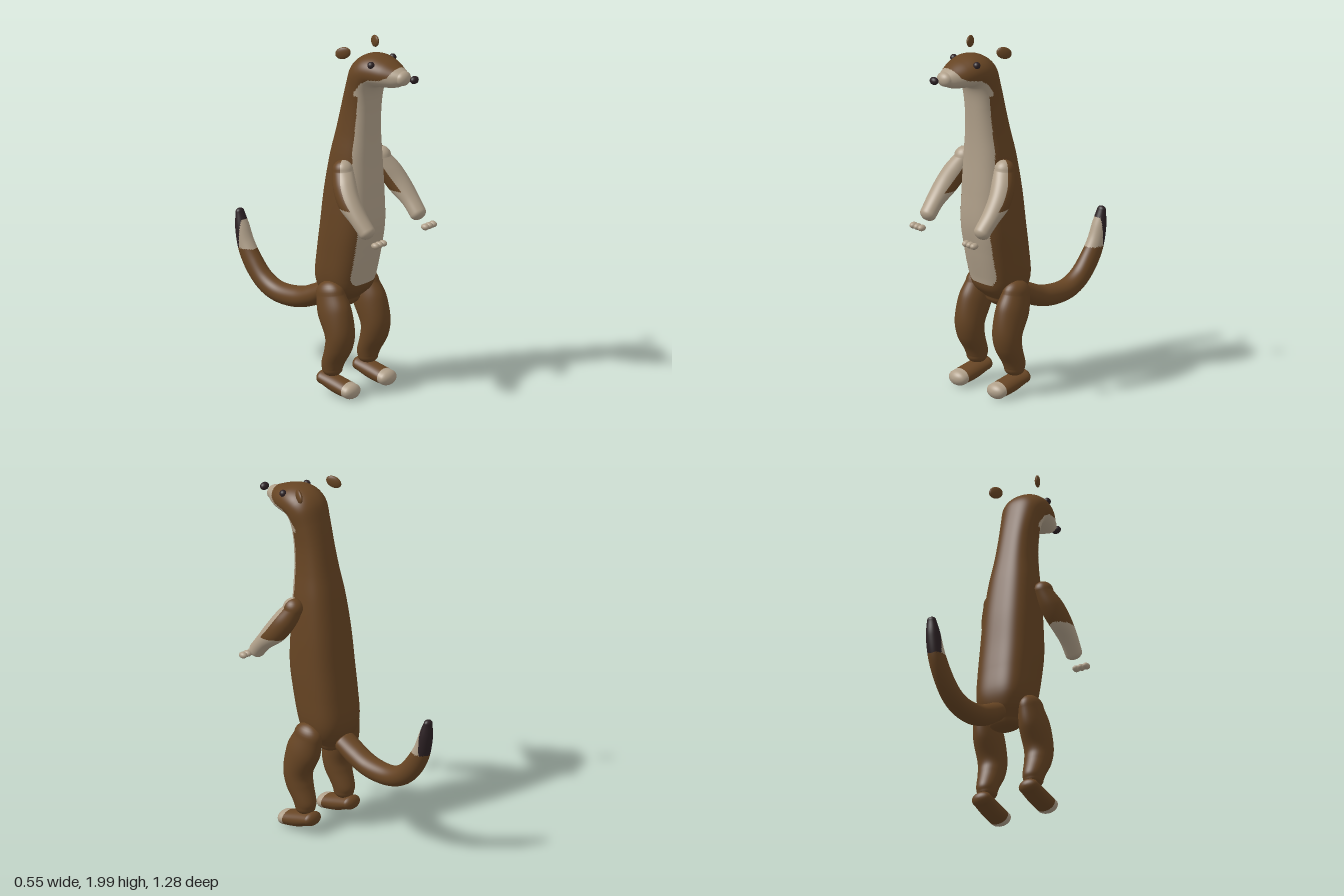
import * as THREE from 'three';

const brown = new THREE.MeshStandardMaterial({ color: 0x664423 });
const cream = new THREE.MeshStandardMaterial({ color: 0xb0a08a });
const dark = new THREE.MeshStandardMaterial({ color: 0x2c2124 });
brown.name = 'brownFur';
cream.name = 'creamFur';
dark.name = 'darkFur';
const palette = [brown, cream, dark];
const BROWN = 0, CREAM = 1, DARK = 2;

// Piecewise linear lookup in [[x, y], ...]
function lookup(table, x) {
  if (x <= table[0][0]) return table[0][1];
  for (let i = 1; i < table.length; i++) {
    const [x0, y0] = table[i - 1], [x1, y1] = table[i];
    if (x <= x1) return y0 + ((x - x0) / (x1 - x0)) * (y1 - y0);
  }
  return table[table.length - 1][1];
}

// Smooth limb through sections [yBack, zBack, yFront, zFront, x, halfWidth], domed at both ends.
// paint(point, front, side, t) picks the palette index; front and side run from -1 to 1.
function loft(name, sections, { steps = 60, radial = 40, domes = [1, 1], power = () => 2, paint = () => BROWN }) {
  const backs = new THREE.CatmullRomCurve3(sections.map(s => new THREE.Vector3(s[4], s[0], s[1])), false, 'catmullrom', 0.5);
  const fronts = new THREE.CatmullRomCurve3(sections.map(s => new THREE.Vector3(s[5], s[2], s[3])), false, 'catmullrom', 0.5);
  const ringAt = t => {
    const b = backs.getPoint(t), f = fronts.getPoint(t);
    return {
      t, width: f.x,
      centre: new THREE.Vector3(b.x, (b.y + f.y) / 2, (b.z + f.z) / 2),
      depth: new THREE.Vector3(0, (f.y - b.y) / 2, (f.z - b.z) / 2),
    };
  };
  const rings = [];
  for (let i = 0; i <= steps; i++) rings.push(ringAt(i / steps));

  // Rounded ends
  const along = rings[steps >> 1].centre.clone().sub(rings[(steps >> 1) - 1].centre);
  const mid = rings[steps >> 1].depth;
  const sign = Math.sign(along.y * -mid.z + along.z * mid.y); // direction of side x front
  const dome = (ring, length, dir) => Array.from({ length: 8 }, (_, k) => {
    const a = ((k + 1) / 8) * Math.PI / 2, c = Math.max(Math.cos(a), 0.002);
    const n = new THREE.Vector3(0, -ring.depth.z, ring.depth.y).multiplyScalar(sign * dir * length * Math.sin(a));
    return { t: ring.t, width: ring.width * c, depth: ring.depth.clone().multiplyScalar(c), centre: ring.centre.clone().add(n) };
  });
  const all = [...dome(rings[0], domes[0], -1).reverse(), ...rings, ...dome(rings[steps], domes[1], 1)];

  const positions = [], info = [];
  for (const r of all) {
    for (let j = 0; j < radial; j++) {
      const a = (j / radial) * Math.PI * 2, e = 2 / power(r.t);
      const side = Math.sign(Math.cos(a)) * Math.abs(Math.cos(a)) ** e;
      const front = Math.sign(Math.sin(a)) * Math.abs(Math.sin(a)) ** e;
      const p = r.centre.clone().addScaledVector(r.depth, front);
      p.x += r.width * side;
      positions.push(p.x, p.y, p.z);
      info.push({ p, front, side, t: r.t });
    }
  }
  const lists = palette.map(() => []);
  const face = (a, b, c) => {
    const v = [info[a], info[b], info[c]];
    const p = new THREE.Vector3();
    v.forEach(q => p.addScaledVector(q.p, 1 / 3));
    const mean = k => (v[0][k] + v[1][k] + v[2][k]) / 3;
    lists[paint(p, mean('front'), mean('side'), mean('t'))].push(...(sign > 0 ? [a, b, c] : [a, c, b]));
  };
  for (let i = 0; i < all.length - 1; i++) {
    for (let j = 0; j < radial; j++) {
      const k = (j + 1) % radial, a = i * radial, b = a + radial;
      face(a + j, a + k, b + k);
      face(a + j, b + k, b + j);
    }
  }
  const geo = new THREE.BufferGeometry();
  geo.setAttribute('position', new THREE.Float32BufferAttribute(positions, 3));
  geo.setIndex(lists.flat());
  let start = 0;
  lists.forEach((list, m) => {
    if (list.length) geo.addGroup(start, list.length, m);
    start += list.length;
  });
  geo.computeVertexNormals();
  const mesh = new THREE.Mesh(geo, palette);
  mesh.name = name;
  return mesh;
}

function ellipsoid(name, material, [x, y, z], [rx, ry, rz]) {
  const mesh = new THREE.Mesh(new THREE.SphereGeometry(1, 20, 14), material);
  mesh.name = name;
  mesh.position.set(x, y, z);
  mesh.scale.set(rx, ry, rz);
  return mesh;
}

export function createModel() {
  const model = new THREE.Group();
  model.name = 'standingWeasel';

  // Body, neck and head in one skin, with cream belly, throat and muzzle
  const bibWidth = [[1.08, 0.72], [1.2, 0.85], [1.4, 0.92], [1.7, 0.94]];
  const jawLine = [[0.28, 1.74], [0.3, 1.765], [0.33, 1.803], [0.38, 1.832], [0.45, 1.842], [0.49, 1.862], [0.525, 1.93]];
  model.add(loft('body', [
    [0.50, 0.04, 0.52, 0.20, 0, 0.09],
    [0.57, 0, 0.58, 0.262, 0, 0.135],
    [0.66, -0.015, 0.66, 0.285, 0, 0.155],
    [0.80, 0, 0.80, 0.318, 0, 0.16],
    [0.95, 0.02, 0.96, 0.345, 0, 0.16],
    [1.15, 0.045, 1.15, 0.342, 0, 0.152],
    [1.35, 0.08, 1.35, 0.335, 0, 0.135],
    [1.50, 0.115, 1.49, 0.335, 0, 0.115],
    [1.65, 0.15, 1.62, 0.342, 0, 0.105],
    [1.78, 0.185, 1.71, 0.352, 0, 0.11],
    [1.88, 0.22, 1.76, 0.368, 0, 0.12],
    [1.935, 0.28, 1.777, 0.39, 0, 0.122],
    [1.952, 0.36, 1.78, 0.42, 0, 0.115],
    [1.935, 0.44, 1.785, 0.46, 0, 0.098],
    [1.908, 0.505, 1.795, 0.51, 0, 0.07],
    [1.892, 0.54, 1.81, 0.54, 0, 0.05],
  ], {
    steps: 220, radial: 96, domes: [0.6, 0.9],
    power: t => lookup([[0, 2.4], [0.12, 2.8], [0.55, 2.6], [0.72, 2.1]], t),
    paint: (p, front, side) => {
      const bottom = 0.62 + 25 * Math.max(0, Math.abs(p.x) - 0.07) ** 2;
      const belly = front > 0 && p.y > bottom && p.y < 1.77 && Math.abs(side) < lookup(bibWidth, p.y);
      const muzzle = p.z > 0.28 && p.y > 1.72 && p.y < lookup(jawLine, p.z);
      return belly || muzzle ? CREAM : BROWN;
    },
  }));

  // Tail with dark tip and a cream patch on its inner face
  model.add(loft('tail', [
    [0.48, 0.03, 0.58, -0.01, 0, 0.07],
    [0.42, -0.07, 0.535, -0.10, 0, 0.069],
    [0.38, -0.20, 0.50, -0.19, 0, 0.066],
    [0.38, -0.34, 0.492, -0.32, 0, 0.06],
    [0.42, -0.45, 0.53, -0.41, 0, 0.056],
    [0.50, -0.54, 0.61, -0.48, 0, 0.051],
    [0.61, -0.605, 0.69, -0.53, 0, 0.047],
    [0.74, -0.635, 0.77, -0.563, 0, 0.041],
    [0.83, -0.636, 0.84, -0.595, 0, 0.027],
  ], {
    steps: 110, radial: 48, domes: [0.5, 1],
    paint: p => (p.y < 0.645 ? BROWN : p.z < -0.585 || p.y > 0.8 ? DARK : CREAM),
  }));

  // Nose
  model.add(ellipsoid('nose', dark, [0, 1.86, 0.62], [0.028, 0.022, 0.021]));

  for (const s of [1, -1]) {
    const label = s > 0 ? 'left' : 'right';

    // Arm with cream front and forearm
    model.add(loft(label + 'Arm', [
      [1.30, 0.19, 1.31, 0.305, s * 0.16, 0.055],
      [1.20, 0.225, 1.26, 0.34, s * 0.187, 0.066],
      [1.11, 0.285, 1.19, 0.385, s * 0.21, 0.062],
      [1.04, 0.375, 1.11, 0.44, s * 0.218, 0.053],
      [0.975, 0.435, 1.04, 0.495, s * 0.215, 0.048],
    ], { radial: 48, domes: [0.95, 0.8], paint: (p, front) => (p.y < 1.12 || front > 0.35 ? CREAM : BROWN) }));

    // Fingers
    for (let i = -1; i <= 1; i++) {
      model.add(ellipsoid(label + 'Finger', cream, [s * (0.21 + i * 0.032), 0.955, 0.547], [0.02, 0.018, 0.025]));
    }

    // Leg
    model.add(loft(label + 'Leg', [
      [0.56, 0.06, 0.585, 0.235, s * 0.145, 0.062],
      [0.45, 0.08, 0.50, 0.28, s * 0.148, 0.078],
      [0.34, 0.135, 0.37, 0.302, s * 0.15, 0.08],
      [0.27, 0.132, 0.27, 0.285, s * 0.15, 0.075],
      [0.18, 0.105, 0.19, 0.24, s * 0.15, 0.062],
      [0.14, 0.11, 0.15, 0.222, s * 0.15, 0.055],
    ], { domes: [0.8, 0.7] }));

    // Foot with cream toes
    model.add(loft(label + 'Foot', [
      [0.05, 0.12, 0.13, 0.11, s * 0.152, 0.06],
      [0.02, 0.20, 0.112, 0.20, s * 0.152, 0.061],
      [0.003, 0.30, 0.088, 0.30, s * 0.152, 0.063],
    ], { domes: [0.9, 0.95], paint: p => (p.z > 0.28 ? CREAM : BROWN) }));

    // Ear and eye
    const ear = ellipsoid(label + 'Ear', brown, [s * 0.135, 1.963, 0.228], [0.014, 0.033, 0.045]);
    ear.rotation.set(-0.4, s * -0.45, 0, 'YXZ');
    model.add(ear);
    model.add(ellipsoid(label + 'Eye', dark, [s * 0.092, 1.917, 0.39], [0.02, 0.02, 0.02]));
  }
  return model;
}
